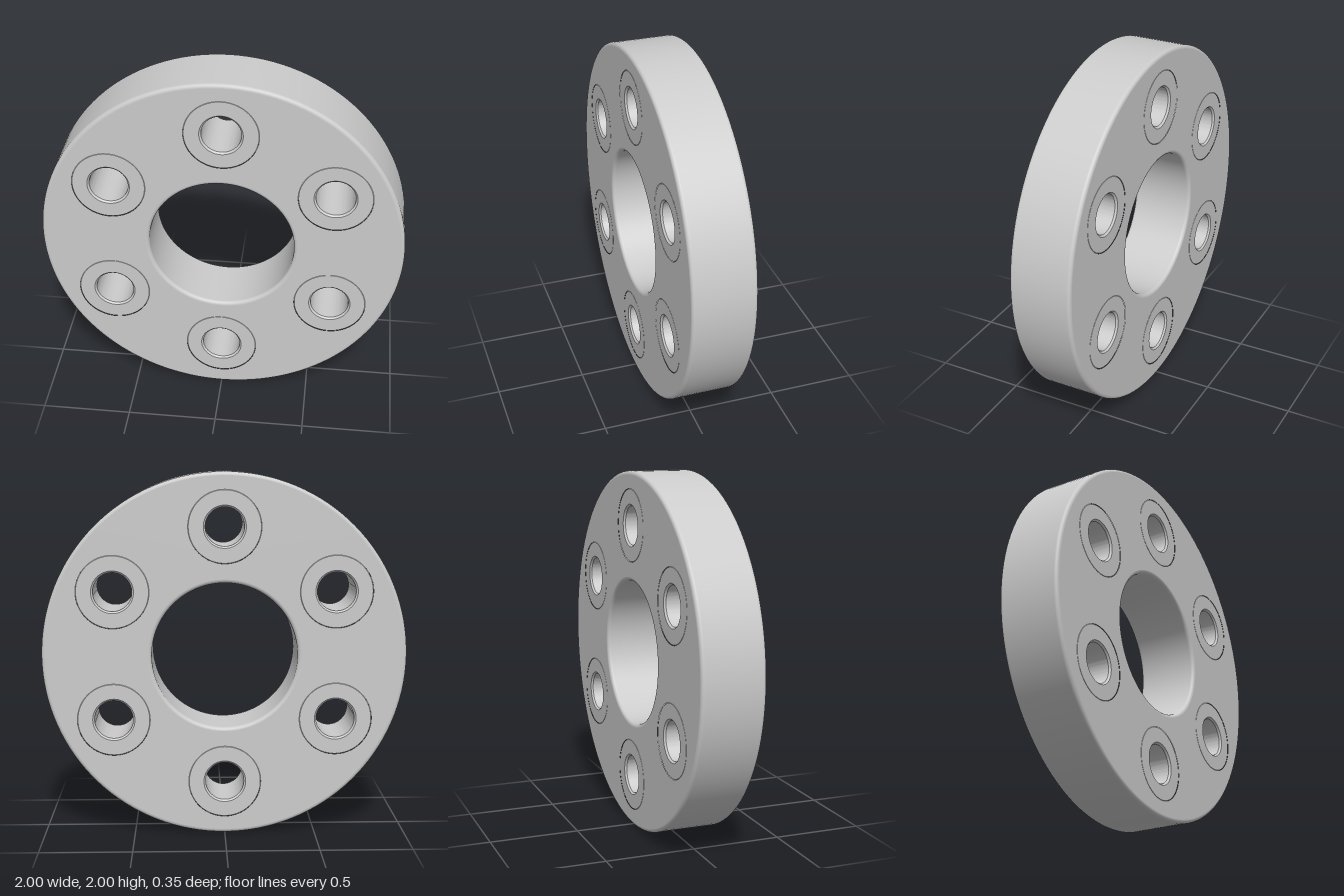
import * as THREE from 'three';
import { toCreasedNormals } from 'three/addons/utils/BufferGeometryUtils.js';

const SEGMENTS = 128;
const H = 0.175;        // half thickness
const FILLET = 0.02;    // rounded rim edges
const R_OUT = 1, R_BORE = 0.4;
const R_BOLT = 0.705;   // circle on which the small holes sit
const R_BUSH = 0.2, R_HOLE = 0.106;
const HOLES = 6;

const material = new THREE.MeshStandardMaterial({ color: 0xcccccc });

function addMesh(parent, geometry, name) {
  const mesh = new THREE.Mesh(geometry, material);
  mesh.name = name;
  parent.add(mesh);
  return mesh;
}

// Revolve a profile of [radius, z] pairs around the z axis
function revolve(points) {
  const profile = points.map(([r, z]) => new THREE.Vector2(r, z));
  return new THREE.LatheGeometry(profile, SEGMENTS).rotateX(Math.PI / 2);
}

// Wall with quarter-round edges; side is +1 for an outer wall, -1 for a bore
function filletedWall(radius, side) {
  const points = [];
  const steps = 6;
  for (const end of [-1, 1]) {
    for (let i = 0; i <= steps; i++) {
      const a = (end < 0 ? steps - i : i) / steps * Math.PI / 2;
      points.push([
        radius - side * FILLET * (1 - Math.cos(a)),
        end * (H - FILLET + FILLET * Math.sin(a)),
      ]);
    }
  }
  if (side < 0) points.reverse();
  return revolve(points);
}

// Flat annular face with openings for the bushings
function faceGeometry() {
  const shape = new THREE.Shape();
  shape.absarc(0, 0, R_OUT - FILLET, 0, Math.PI * 2, false);
  const circleHole = (x, y, r) => {
    const path = new THREE.Path();
    path.absarc(x, y, r, 0, Math.PI * 2, true);
    shape.holes.push(path);
  };
  circleHole(0, 0, R_BORE + FILLET);
  for (let i = 0; i < HOLES; i++) {
    const a = Math.PI / 2 + i * Math.PI * 2 / HOLES;
    circleHole(R_BOLT * Math.cos(a), R_BOLT * Math.sin(a), R_BUSH);
  }
  return new THREE.ShapeGeometry(shape, SEGMENTS / 2);
}

// Flush bushing: hairline groove outside, small chamfer at its hole
function bushingGeometry() {
  const groove = 0.003, chamfer = 0.01;
  return toCreasedNormals(revolve([
    [R_BUSH, -H + groove], [R_BUSH, H - groove],
    [R_BUSH - groove, H], [R_HOLE + chamfer, H],
    [R_HOLE, H - chamfer], [R_HOLE, -H + chamfer],
    [R_HOLE + chamfer, -H], [R_BUSH - groove, -H],
    [R_BUSH, -H + groove],
  ]), 0.5);
}

export function createModel() {
  const model = new THREE.Group();
  model.name = 'flangeRing';

  // Ring body
  const body = new THREE.Group();
  body.name = 'ringBody';
  body.position.y = R_OUT;
  model.add(body);
  addMesh(body, filletedWall(R_OUT, 1), 'outerRim');
  addMesh(body, filletedWall(R_BORE, -1), 'centreBore');
  const face = faceGeometry();
  addMesh(body, face, 'frontFace').position.z = H;
  const back = addMesh(body, face, 'backFace');
  back.position.z = -H;
  back.rotation.y = Math.PI;

  // Bushings around the bolt circle
  const bushing = bushingGeometry();
  for (let i = 0; i < HOLES; i++) {
    const a = Math.PI / 2 + i * Math.PI * 2 / HOLES;
    addMesh(body, bushing, 'bushing' + (i + 1))
      .position.set(R_BOLT * Math.cos(a), R_BOLT * Math.sin(a), 0);
  }
  return model;
}
